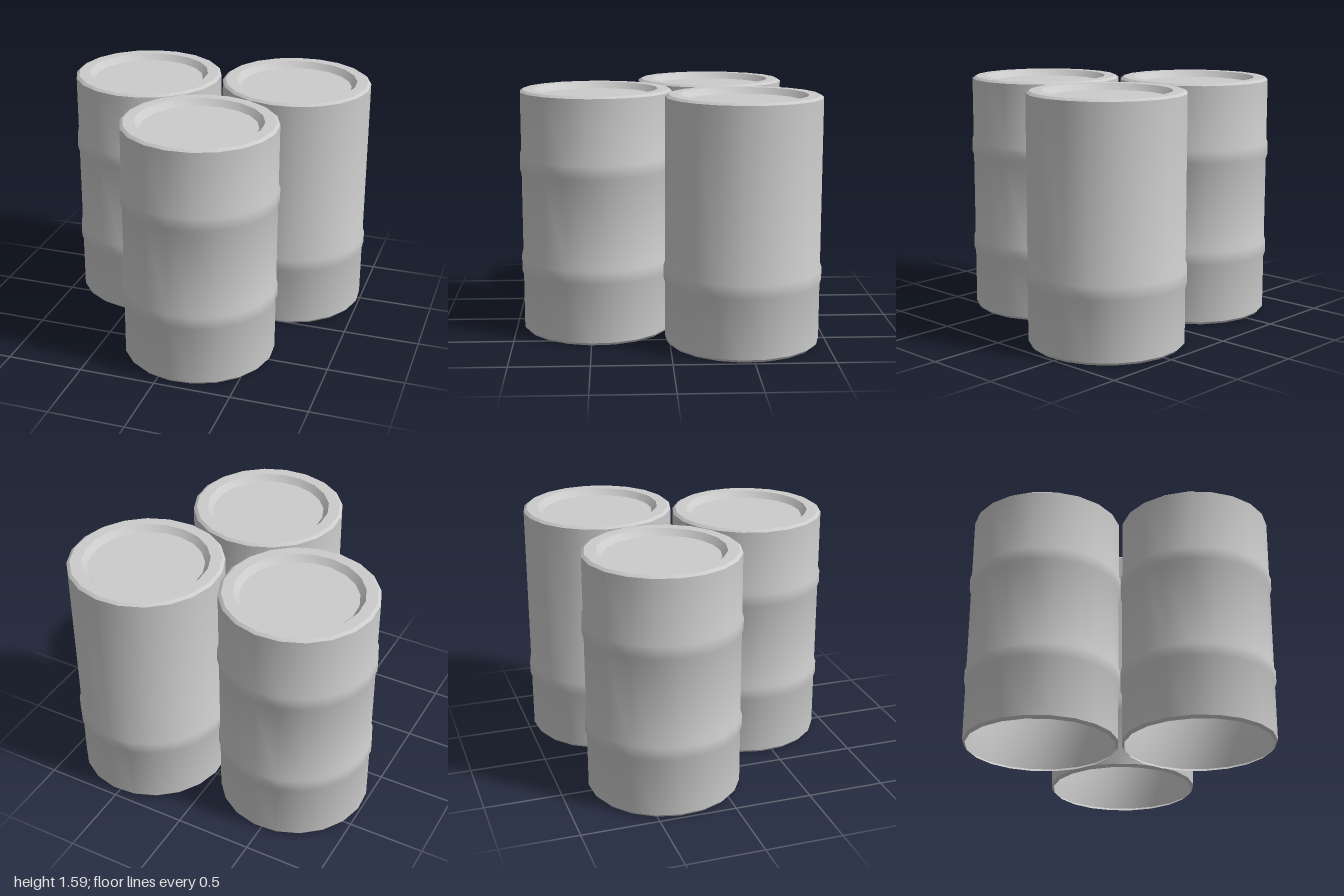
import * as THREE from 'three';
import { toCreasedNormals } from 'three/addons/utils/BufferGeometryUtils.js';

const SIDES = 20;
const START = -5 * Math.PI / 180;
const BODY = 0.494, RIB = 0.504, HEIGHT = 1.585;
const LID_RADIUS = 0.367, LID_Y = HEIGHT - 0.04;

const material = new THREE.MeshStandardMaterial({ color: 0xcccccc, side: THREE.DoubleSide });

function lathe(name, points) {
  const profile = points.map(([r, y]) => new THREE.Vector2(r, y));
  const geometry = new THREE.LatheGeometry(profile, SIDES, START, Math.PI * 2);
  const mesh = new THREE.Mesh(toCreasedNormals(geometry, 0.5), material);
  mesh.name = name;
  return mesh;
}

// Soft raised hoop in the wall profile, centred on height y
const rib = (y) => [[BODY, y - 0.07], [RIB, y - 0.04], [RIB, y + 0.04], [BODY, y + 0.07]];

function drum(name, x, z, ribHeights) {
  const group = new THREE.Group();
  group.name = name;
  group.position.set(x, 0, z);

  // Wall, open at the bottom, with chamfered ends
  group.add(lathe('wall', [
    [0.478, 0], [BODY, 0.018],
    ...ribHeights.flatMap(rib),
    [BODY, HEIGHT - 0.014], [0.474, HEIGHT],
  ]));

  // Flat top rim and the slope down into the recess
  group.add(lathe('rim', [[0.474, HEIGHT], [0.402, HEIGHT], [LID_RADIUS, LID_Y]]));

  // Sunken lid
  const disc = new THREE.CircleGeometry(LID_RADIUS, SIDES, START, Math.PI * 2);
  const lid = new THREE.Mesh(disc.rotateX(-Math.PI / 2), material);
  lid.name = 'lid';
  lid.position.y = LID_Y;
  group.add(lid);
  return group;
}

export function createModel() {
  const model = new THREE.Group();
  model.name = 'drums';
  model.add(
    drum('frontDrum', 0.126, 0.463, [0.445, 1.115]),
    drum('rightDrum', -0.498, -0.32, [0.445, 1.115]),
    drum('leftDrum', 0.498, -0.465, [0.445]), // only the lower hoop
  );
  return model;
}
